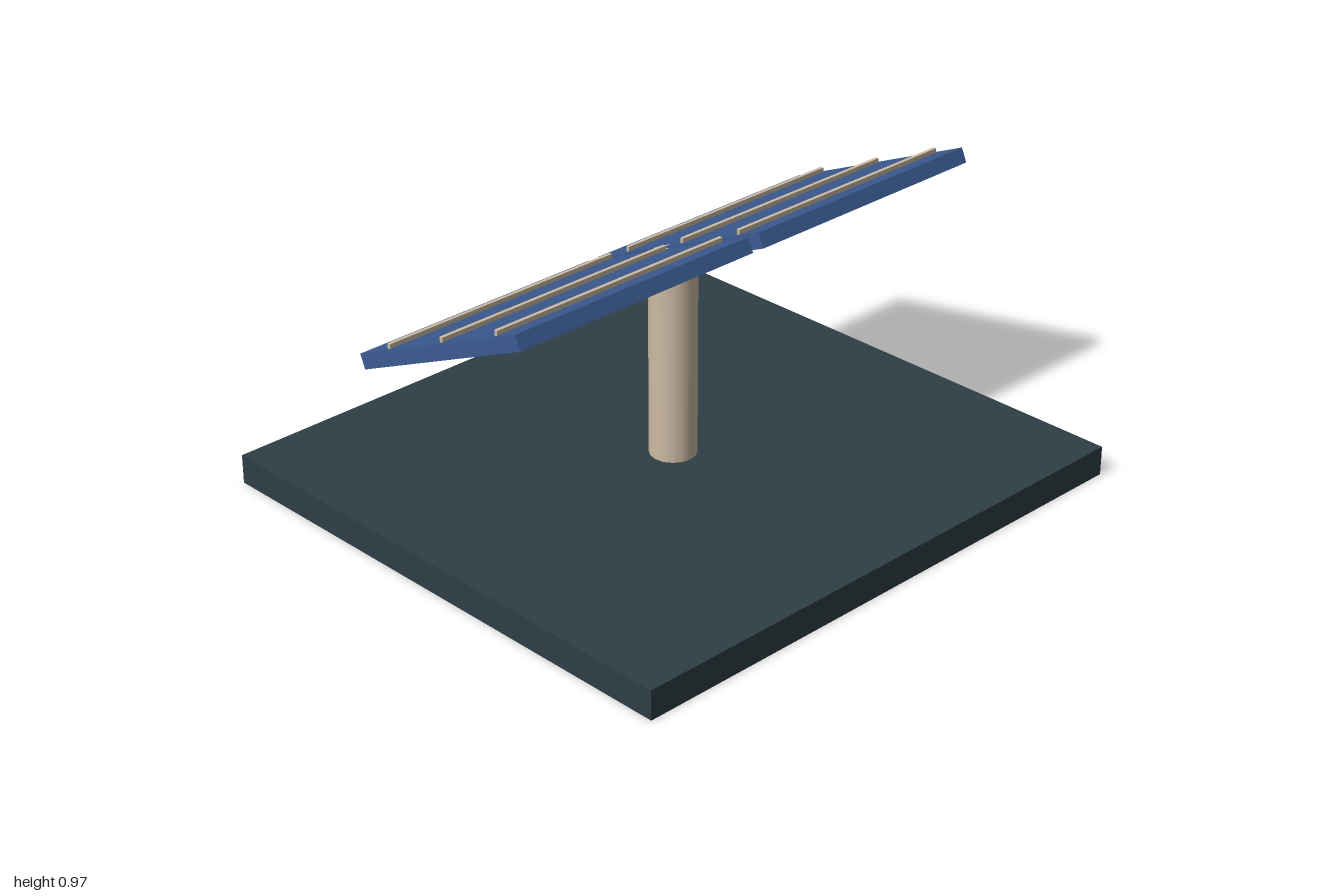
import * as THREE from 'three';

export function createModel() {
  const model = new THREE.Group();
  const mat = (name, color) => {
    const m = new THREE.MeshStandardMaterial({ color });
    m.name = name;
    return m;
  };
  const slate = mat('dark slate', 0x2f3e46);
  const blue = mat('panel blue', 0x3b5b92);
  const tan = mat('warm tan', 0xcdbba4);

  const add = (name, geometry, material, x, y, z) => {
    const mesh = new THREE.Mesh(geometry, material);
    mesh.name = name;
    mesh.position.set(x, y, z);
    model.add(mesh);
    return mesh;
  };

  // ground slab and post
  add('base', new THREE.BoxGeometry(2, 0.1, 1.875), slate, 0, 0.05, 0);
  add('post', new THREE.CylinderGeometry(0.078, 0.078, 0.69, 16), tan, 0, 0.445, 0);

  // two tilted panels, raised at the front, each with three thin rails
  const tilt = THREE.MathUtils.degToRad(24.2);
  const panelY = 0.79;
  const panelGeo = new THREE.BoxGeometry(0.926, 0.05, 0.775);
  const railGeo = new THREE.BoxGeometry(0.896, 0.028, 0.012);
  for (const [side, s] of [['left', 1], ['right', -1]]) {
    const x = s * 0.485;
    add(side + 'Panel', panelGeo, blue, x, panelY, 0).rotation.x = -tilt;
    for (const z of [-0.243, 0, 0.243]) {
      add(side + 'Rail', railGeo, tan, x, panelY + 0.031 + z * Math.tan(tilt), z);
    }
  }
  return model;
}
